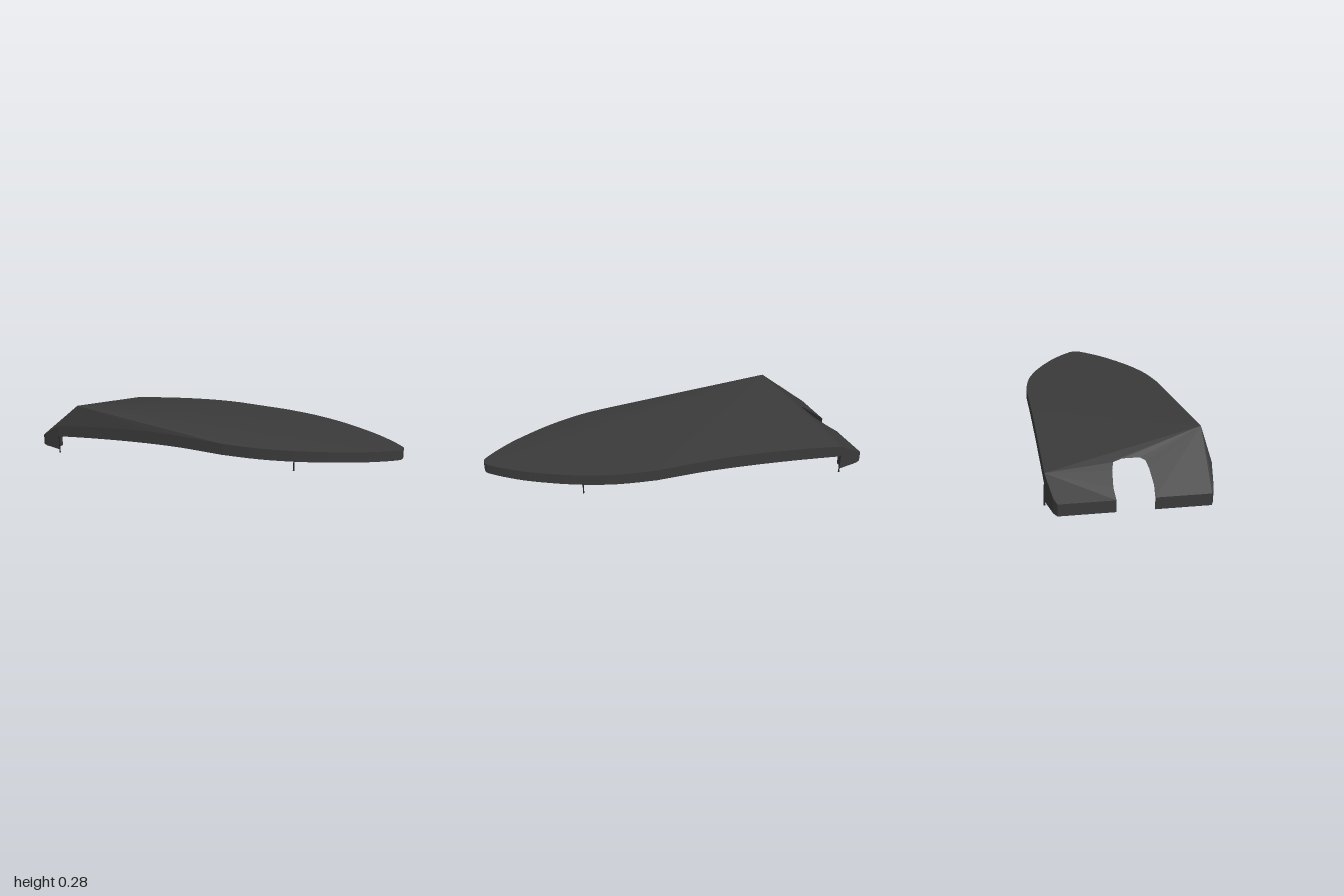
import * as THREE from 'three';

const shellMat = new THREE.MeshStandardMaterial({ color: 0x3a3a3a, side: THREE.DoubleSide });
shellMat.name = 'charcoal shell';
const pinMat = new THREE.MeshStandardMaterial({ color: 0x262626 });
pinMat.name = 'dark pin';

// Heights of the shell's upper rim and of the skirt's lower edge along its length
function rimY(x) {
  if (x < -0.851) return 0.073 + (x + 1) * 0.553;
  return x > -0.1 ? 0.216 - 0.009 * x : 0.217 - 0.061 * Math.pow((-0.1 - x) / 0.75, 1.6);
}
const skirtY = (x) => (x > 0 ? 0.157 : 0.157 - 0.062 * Math.pow(-x / 0.85, 1.5));
const rim = ([x, z]) => new THREE.Vector3(x, rimY(x), z);

function facetMesh(name, triangles) {
  const geo = new THREE.BufferGeometry().setFromPoints(triangles);
  geo.computeVertexNormals();
  const mesh = new THREE.Mesh(geo, shellMat);
  mesh.name = name;
  return mesh;
}

// Triangles from one hub point to a run of edge points
function fan(hub, points) {
  const out = [];
  for (let i = 0; i < points.length - 1; i++) out.push(hub, points[i + 1], points[i]);
  return out;
}

// Vertical wall between upper points and a lower edge
function wall(points, lowY) {
  const out = [];
  for (let i = 0; i < points.length - 1; i++) {
    const a = points[i], b = points[i + 1];
    const c = new THREE.Vector3(b.x, lowY(b.x), b.z), d = new THREE.Vector3(a.x, lowY(a.x), a.z);
    out.push(a, b, c, a, c, d);
  }
  return out;
}

export function createModel() {
  const group = new THREE.Group();

  // Half outline: straight side, then the curve to the blunt nose
  const half = [];
  for (let i = 0; i < 14; i++) half.push([-0.85 + (1.05 * i) / 14, 0.38]);
  const bow = new THREE.SplineCurve([
    [0.2, 0.38], [0.4, 0.35], [0.6, 0.283], [0.8, 0.18], [0.92, 0.095], [0.985, 0.037],
  ].map(([x, z]) => new THREE.Vector2(x, z)));
  bow.getPoints(20).forEach((p) => half.push([p.x, p.y]));
  half.push([0.997, 0.02]);
  const mirror = (pts) => pts.map(([x, z]) => [x, -z]);
  const hull = [...mirror(half), [1, 0], ...half.slice().reverse()].map(rim);

  // Stern corners and the rounded notch
  const corner = [[-0.85, 0.38], [-0.97, 0.355], [-1, 0.34]];
  const slot = [[-1, 0.085], [-0.95, 0.09], [-0.88, 0.083], [-0.845, 0.073], [-0.832, 0.05]];
  const slotPoint = ([x, z]) => new THREE.Vector3(x, 0.073 + 0.72 * (x + 1), z);
  const leftCorner = corner.map(rim);
  const rightCorner = mirror(corner).map(rim);
  const leftSlot = slot.map(slotPoint);
  const rightSlot = mirror(slot).reverse().map(slotPoint);
  const hinge = rightSlot[1];

  // Deck, with all facets meeting at one raised corner
  const peak = new THREE.Vector3(-0.72, 0.285, 0.362);
  const start = rightCorner[0];
  group.add(facetMesh('deck', fan(peak, hull)));
  group.add(facetMesh('sternSlope', [
    ...fan(peak, [...leftCorner, ...leftSlot, rightSlot[0], hinge, start]),
    ...fan(start, [...rightSlot.slice(1), rightCorner[2], rightCorner[1]]),
  ]));

  // Skirt around the hull and the deeper walls at the stern
  const low = () => 0.017;
  group.add(facetMesh('skirt', wall(hull, skirtY)));
  group.add(facetMesh('leftSternWall', wall([...leftCorner, leftSlot[0]], low)));
  group.add(facetMesh('rightSternWall', wall([rightSlot.at(-1), ...rightCorner.slice().reverse()], low)));

  // Support pins with small feet, and gussets inside the stern corners
  for (const side of [1, -1]) {
    for (const [name, x, z, bottom, top] of [
      ['rearPin', -0.848, 0.382, 0, 0.1], ['frontPin', 0.56, 0.308, 0.115, 0.165],
    ]) {
      const pin = new THREE.Group();
      pin.name = name;
      const shaft = new THREE.Mesh(new THREE.CylinderGeometry(0.003, 0.003, top - bottom, 8), pinMat);
      shaft.position.y = (top + bottom) / 2;
      const foot = new THREE.Mesh(new THREE.CylinderGeometry(0.003, 0.005, 0.012, 8), pinMat);
      foot.position.y = bottom + 0.006;
      pin.add(shaft, foot);
      pin.position.set(x, 0, side * z);
      group.add(pin);
    }
    const gusset = new THREE.Mesh(new THREE.BoxGeometry(0.012, 0.1, 0.02), shellMat);
    gusset.name = 'gusset';
    gusset.position.set(-0.857, 0.085, side * 0.362);
    group.add(gusset);
  }
  return group;
}
